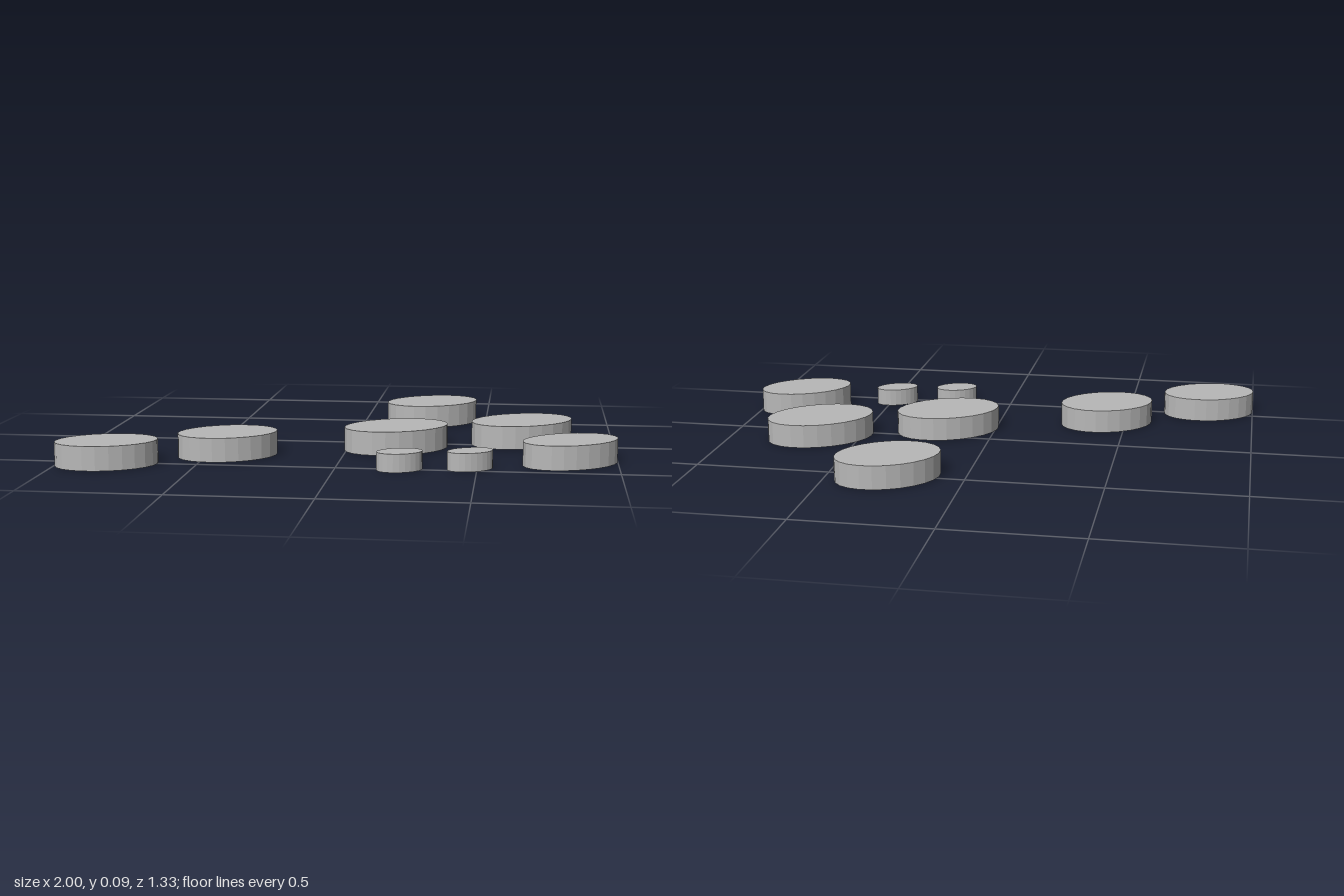
import * as THREE from 'three';

export function createModel() {
  const group = new THREE.Group();
  group.name = 'steppingStones';
  const stone = new THREE.MeshStandardMaterial({ color: 0xb8b8b8, flatShading: true });
  stone.name = 'grey stone';

  // Elliptical slab: centre x, z; half-length, half-width; turn in degrees
  const addStone = (name, height, [x, z, a, b, turn]) => {
    const mesh = new THREE.Mesh(new THREE.CylinderGeometry(1, 1, 1, 24), stone);
    mesh.name = name;
    mesh.scale.set(a, height, b);
    mesh.rotation.y = THREE.MathUtils.degToRad(turn);
    mesh.position.set(x, height / 2, z);
    group.add(mesh);
  };

  // Large stepping stones
  [
    [0.278, -0.509, 0.196, 0.141, 32],
    [0.652, -0.078, 0.208, 0.143, 32],
    [0.182, 0.1, 0.205, 0.142, 30],
    [-0.424, 0.309, 0.187, 0.138, 27],
    [-0.821, 0.53, 0.184, 0.128, 19],
    [0.829, 0.321, 0.186, 0.12, 31],
  ].forEach((s, i) => addStone(`largeStone${i + 1}`, 0.088, s));

  // Small pebbles
  [
    [0.229, 0.501, 0.084, 0.058, 24],
    [0.475, 0.459, 0.086, 0.055, 28],
  ].forEach((s, i) => addStone(`smallStone${i + 1}`, 0.066, s));

  return group;
}
